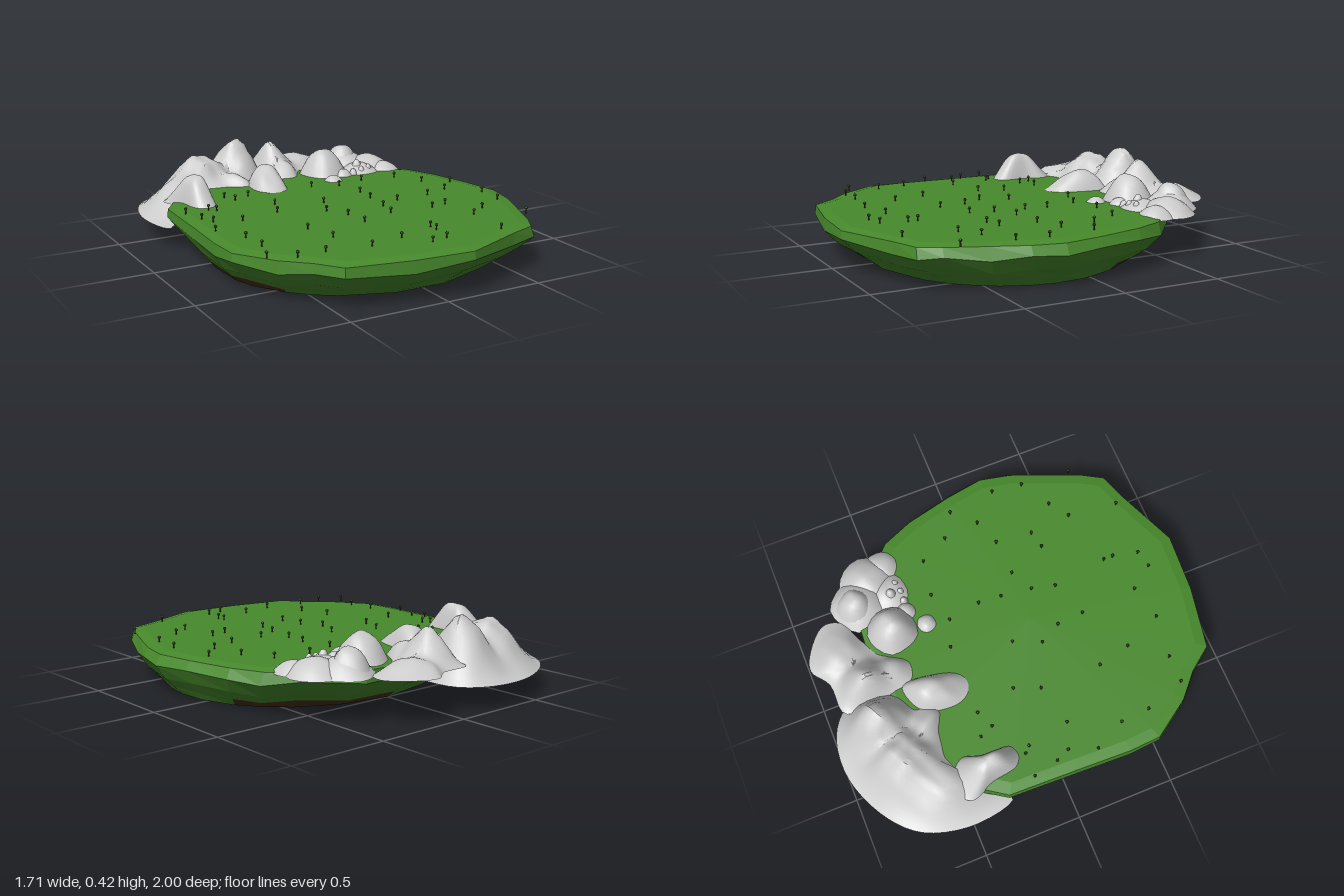
import * as THREE from 'three';
import { toCreasedNormals } from 'three/addons/utils/BufferGeometryUtils.js';

const material = (color, flatShading = false) => new THREE.MeshStandardMaterial({ color, flatShading, roughness: 1 });

// Skin between closed rings of points, listed from the bottom up; keep() picks which panels are made
function loft(rings, keep = () => true) {
  const n = rings[0].length, index = [];
  for (let i = 0; i < rings.length - 1; i++) {
    for (let j = 0; j < n; j++) {
      if (!keep(i, j)) continue;
      const k = (j + 1) % n, a = i * n + j, b = i * n + k;
      index.push(a, a + n, b + n, a, b + n, b);
    }
  }
  const geometry = new THREE.BufferGeometry();
  geometry.setAttribute('position', new THREE.Float32BufferAttribute(rings.flat().flat(), 3));
  geometry.setIndex(index);
  geometry.computeVertexNormals();
  return geometry;
}

// Island shoreline as x, z
const shore = [
  [0.855, 0.2], [0.82, 0.36], [0.75, 0.53], [0.67, 0.72], [0.61, 0.82], [0.45, 0.87],
  [0.14, 1], [-0.16, 0.98], [-0.48, 0.92], [-0.57, 0.8], [-0.69, 0.69], [-0.82, 0.5],
  [-0.83, 0.34], [-0.82, 0.05], [-0.81, -0.3], [-0.66, -0.52], [-0.36, -0.68], [0, -0.7],
  [0.3, -0.68], [0.55, -0.53], [0.69, -0.4], [0.76, -0.24], [0.82, 0],
];

function addIsland(group) {
  const cx = 0, cz = 0.15;
  // Blend from the oval underside (0) to the shoreline (1)
  const ring = (blend, y, wobble = 0) => shore.map(([x, z], j) => {
    const a = Math.atan2((z - cz) / 0.85, (x - cx) / 0.83);
    const bx = cx + 0.72 * Math.cos(a), bz = cz + 0.65 * Math.sin(a);
    return [bx + (x - bx) * blend, y + wobble * Math.sin(j * 2.4), bz + (z - bz) * blend];
  });
  const inset = (s, y) => shore.map(([x, z]) => [
    cx + (x - cx) * (x > 0.5 ? s - 0.025 : s), y, cz + (z - cz) * s]);
  const rings = [
    inset(0, 0), ring(0, 0), ring(0.28, 0.04, 0.008), ring(0.65, 0.09, 0.012),
    ring(1, 0.16, 0.012), inset(0.995, 0.212), inset(0.93, 0.222), inset(0, 0.222),
  ];
  // Bare soil: the underside and patches of its lowest band
  const isSoil = (i, j) => i === 0 || (i === 1 && ((j >= 10 && j <= 12) || (j >= 17 && j <= 20)));
  const soil = new THREE.Mesh(loft(rings, isSoil), material(0x4a2e1e, true));
  soil.name = 'soil';
  const grass = new THREE.Mesh(loft(rings, (i, j) => !isSoil(i, j)), material(0x488a2c, true));
  grass.name = 'grass';
  group.add(soil, grass);
}

// Rock mound: a height rule of peaks [x, z, height, spread] falling to the base along an outline
function mound({ outline, center: [cx, cz], base, peaks, segments = 44, steps = 10 }) {
  const curve = new THREE.CatmullRomCurve3(outline.map(([x, z]) => new THREE.Vector3(x, 0, z)), true);
  const edge = curve.getPoints(segments).slice(0, -1);
  const height = (x, z) => Math.pow(peaks.reduce((sum, [px, pz, h, r]) =>
    sum + Math.pow(h * Math.exp(-((x - px) ** 2 + (z - pz) ** 2) / (r * r)), 5), 0), 0.2);
  const rings = [edge.map(() => [cx, base, cz])];
  for (let s = 0; s <= steps; s++) {
    const t = 1 - s / steps;
    rings.push(edge.map((p) => {
      const x = cx + (p.x - cx) * t, z = cz + (p.z - cz) * t;
      const crag = 1 + 0.05 * Math.sin(x * 41 + z * 17) * Math.sin(z * 37 - x * 11);
      return [x, base + height(x, z) * (1 - t ** 3.5) * crag, z];
    }));
  }
  return toCreasedNormals(loft(rings).toNonIndexed(), 0.6);
}

const ridges = {
  mainMountain: {
    center: [-0.42, -0.66], base: 0.115, segments: 60, steps: 14,
    outline: [[-0.05, -0.62], [-0.12, -0.5], [-0.2, -0.38], [-0.36, -0.43], [-0.55, -0.38], [-0.72, -0.38],
      [-0.81, -0.28], [-0.86, -0.5], [-0.8, -0.75], [-0.65, -0.9], [-0.4, -1], [-0.18, -0.98], [-0.06, -0.88]],
    peaks: [[-0.2, -0.77, 0.345, 0.18], [-0.47, -0.71, 0.245, 0.22], [-0.66, -0.58, 0.18, 0.2], [-0.32, -0.52, 0.17, 0.17]],
  },
  leftSpur: {
    center: [-0.645, -0.35], base: 0.2,
    outline: [[-0.57, -0.35], [-0.58, -0.19], [-0.64, -0.165], [-0.69, -0.2], [-0.72, -0.35], [-0.76, -0.48],
      [-0.63, -0.56], [-0.54, -0.46]],
    peaks: [[-0.64, -0.33, 0.16, 0.16]],
  },
  middleSpur: {
    center: [-0.2, -0.42], base: 0.2,
    outline: [[-0.09, -0.42], [-0.14, -0.27], [-0.2, -0.235], [-0.27, -0.27], [-0.3, -0.38], [-0.25, -0.55], [-0.09, -0.6]],
    peaks: [[-0.17, -0.5, 0.13, 0.2]],
  },
  backRidge: {
    center: [0.05, -0.78], base: 0.21, segments: 52,
    outline: [[0.34, -0.76], [0.2, -0.69], [0.09, -0.6], [0.01, -0.5], [-0.09, -0.52], [-0.12, -0.68],
      [-0.12, -0.9], [0.05, -0.92], [0.15, -0.985], [0.24, -0.96], [0.36, -0.85]],
    peaks: [[-0.04, -0.74, 0.18, 0.12], [0.18, -0.84, 0.07, 0.17], [-0.01, -0.58, 0.11, 0.11]],
  },
};

// Rounded boulders: x, z, radius, height
const boulders = [
  [0.2, -0.53, 0.135, 0.15], [0.4, -0.64, 0.145, 0.09], [0.39, -0.66, 0.11, 0.13], [0.5, -0.56, 0.145, 0.08],
  [0.55, -0.46, 0.095, 0.055], [0.4, -0.48, 0.12, 0.06], [0.17, -0.355, 0.06, 0.045], [0.27, -0.43, 0.06, 0.05],
  [0.38, -0.47, 0.04, 0.085], [0.33, -0.42, 0.028, 0.05], [0.38, -0.42, 0.028, 0.06], [0.43, -0.43, 0.028, 0.06],
];

function addRocks(group) {
  const stone = material(0xcccccc);
  const add = (name, spec) => {
    const mesh = new THREE.Mesh(mound(spec), stone);
    mesh.name = name;
    group.add(mesh);
  };
  for (const [name, spec] of Object.entries(ridges)) add(name, spec);
  boulders.forEach(([x, z, r, h], i) => {
    const outline = Array.from({ length: 9 }, (_, k) => {
      const a = k * Math.PI * 2 / 9, s = r * (1 + 0.05 * Math.sin(k * 2.7 + i));
      return [x + s * Math.cos(a), z + s * Math.sin(a)];
    });
    add('boulder', { center: [x, z], base: 0.205, outline, peaks: [[x, z, h, r * 1.3]], segments: 18, steps: 6 });
  });
}

// Tree positions as x, z pairs
const treeSpots = [
  -0.49, -0.32, -0.46, -0.25, -0.37, -0.29, -0.77, -0.15, -0.65, -0.15, -0.62, -0.12, -0.74, -0.02,
  -0.71, 0.05, -0.58, 0.1, -0.76, 0.19, -0.68, 0.35, -0.67, 0.5, -0.72, 0.65, -0.6, 0.71,
  -0.46, 0.71, -0.33, 0.54, -0.37, 0.37, -0.37, 0.05, -0.32, -0.08, -0.09, 0.01, -0.15, 0.15,
  -0.09, 0.26, -0.08, 0.4, -0.24, 0.74, -0.06, 0.7, 0.03, 0.82, 0.12, 0.8, 0.15, 0.67,
  0.15, 0.62, 0.11, 0.33, 0.14, 0.21, 0.16, 0.05, 0.17, -0.07, 0.14, -0.24, 0, -0.29,
  0.3, -0.28, 0.49, -0.25, 0.57, -0.1, 0.7, -0.02, 0.59, 0.09, 0.45, 0.14, 0.26, 0.15,
  0.34, 0.35, 0.43, 0.33, 0.45, 0.55, 0.55, 0.48, 0.71, 0.39, 0.73, 0.23, 0.69, 0.65, 0.42, 0.81,
];

function addTrees(group) {
  const trunkShape = new THREE.CylinderGeometry(0.003, 0.004, 0.03, 5);
  const crownShape = new THREE.IcosahedronGeometry(0.009, 0);
  const bark = material(0x4a2e1e, true), leaf = material(0x3c5a22, true);
  for (let i = 0; i < treeSpots.length; i += 2) {
    const tree = new THREE.Group();
    tree.name = 'tree';
    const trunk = new THREE.Mesh(trunkShape, bark);
    trunk.name = 'trunk';
    trunk.position.y = 0.012;
    const crown = new THREE.Mesh(crownShape, leaf);
    crown.name = 'crown';
    crown.position.y = 0.026;
    tree.add(trunk, crown);
    tree.position.set(treeSpots[i], 0.22, treeSpots[i + 1]);
    tree.rotation.y = i;
    group.add(tree);
  }
}

export function createModel() {
  const model = new THREE.Group();
  model.name = 'floatingIsland';
  const parts = { island: addIsland, rocks: addRocks, trees: addTrees };
  for (const [name, build] of Object.entries(parts)) {
    const part = new THREE.Group();
    part.name = name;
    build(part);
    model.add(part);
  }
  return model;
}
